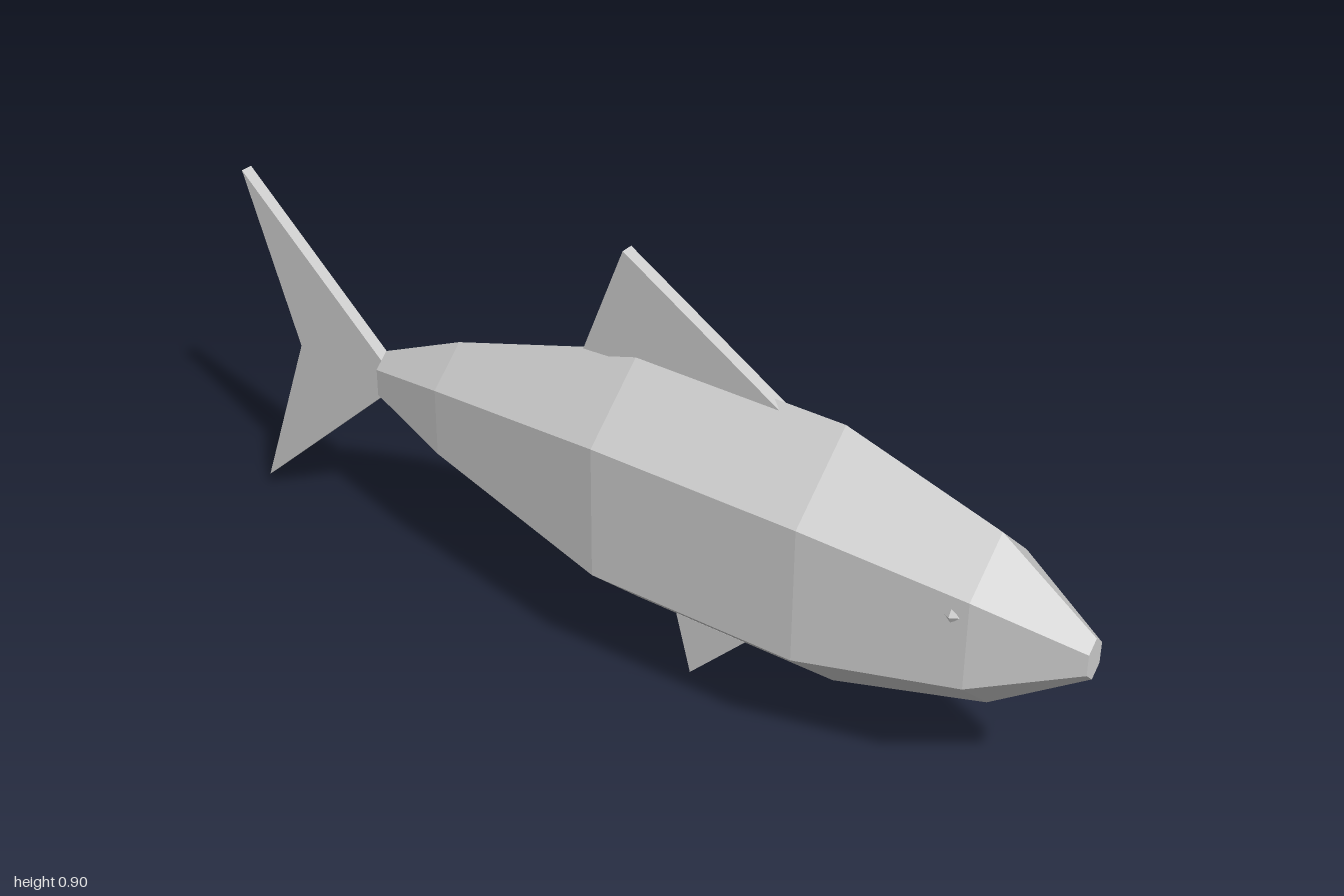
import * as THREE from 'three';

const MID = 0.41; // height of the body axis
const material = new THREE.MeshStandardMaterial({ color: 0xcccccc, flatShading: true });

// Hexagonal cross-sections along x: [x, radius], tail to snout
const STATIONS = [[-0.64, 0.06], [-0.44, 0.15], [0.01, 0.29], [0.47, 0.29], [0.8, 0.19], [1, 0.045]];
const SIDES = 6, WIDTH = 0.627;

function bodyGeometry() {
  const point = (s, k) => {
    const [x, r] = STATIONS[s];
    const a = (k * Math.PI * 2) / SIDES;
    return [x, MID + r * Math.cos(a), WIDTH * r * Math.sin(a)];
  };
  const last = STATIONS.length - 1;
  const pos = [];
  for (let k = 0; k < SIDES; k++) {
    for (let s = 0; s < last; s++) {
      const a = point(s, k), b = point(s, k + 1), c = point(s + 1, k + 1), d = point(s + 1, k);
      pos.push(...a, ...b, ...c, ...a, ...c, ...d);
    }
    // End caps at the tail root and snout
    pos.push(STATIONS[0][0], MID, 0, ...point(0, k + 1), ...point(0, k));
    pos.push(STATIONS[last][0], MID, 0, ...point(last, k), ...point(last, k + 1));
  }
  const geo = new THREE.BufferGeometry();
  geo.setAttribute('position', new THREE.Float32BufferAttribute(pos, 3));
  geo.computeVertexNormals();
  return geo;
}

// Flat plate cut from an outline in the xy plane
function finGeometry(outline, depth = 0.027) {
  const shape = new THREE.Shape(outline.map(([x, y]) => new THREE.Vector2(x, y)));
  return new THREE.ExtrudeGeometry(shape, { depth, bevelEnabled: false }).translate(0, 0, -depth / 2);
}

export function createModel() {
  const group = new THREE.Group();
  group.name = 'fish';
  const add = (name, geometry) => {
    const mesh = new THREE.Mesh(geometry, material);
    mesh.name = name;
    group.add(mesh);
    return mesh;
  };

  add('body', bodyGeometry());
  add('tailFin', finGeometry([[-1, 0.035], [-0.635, 0.375], [-0.635, 0.445], [-1, 0.785], [-0.87, 0.41]]));
  add('dorsalFin', finGeometry([[-0.115, 0.664], [0.335, 0.688], [-0.02, 0.905]]));
  add('bellyFin', finGeometry([[0.11, 0.132], [0.145, 0], [0.275, 0.132]]));

  // Small faceted eyes on both flanks
  for (const side of [1, -1]) {
    const eye = add(side > 0 ? 'leftEye' : 'rightEye', new THREE.OctahedronGeometry(0.017));
    eye.scale.z = 0.6;
    eye.position.set(0.768, 0.468, side * 0.107);
  }
  return group;
}
